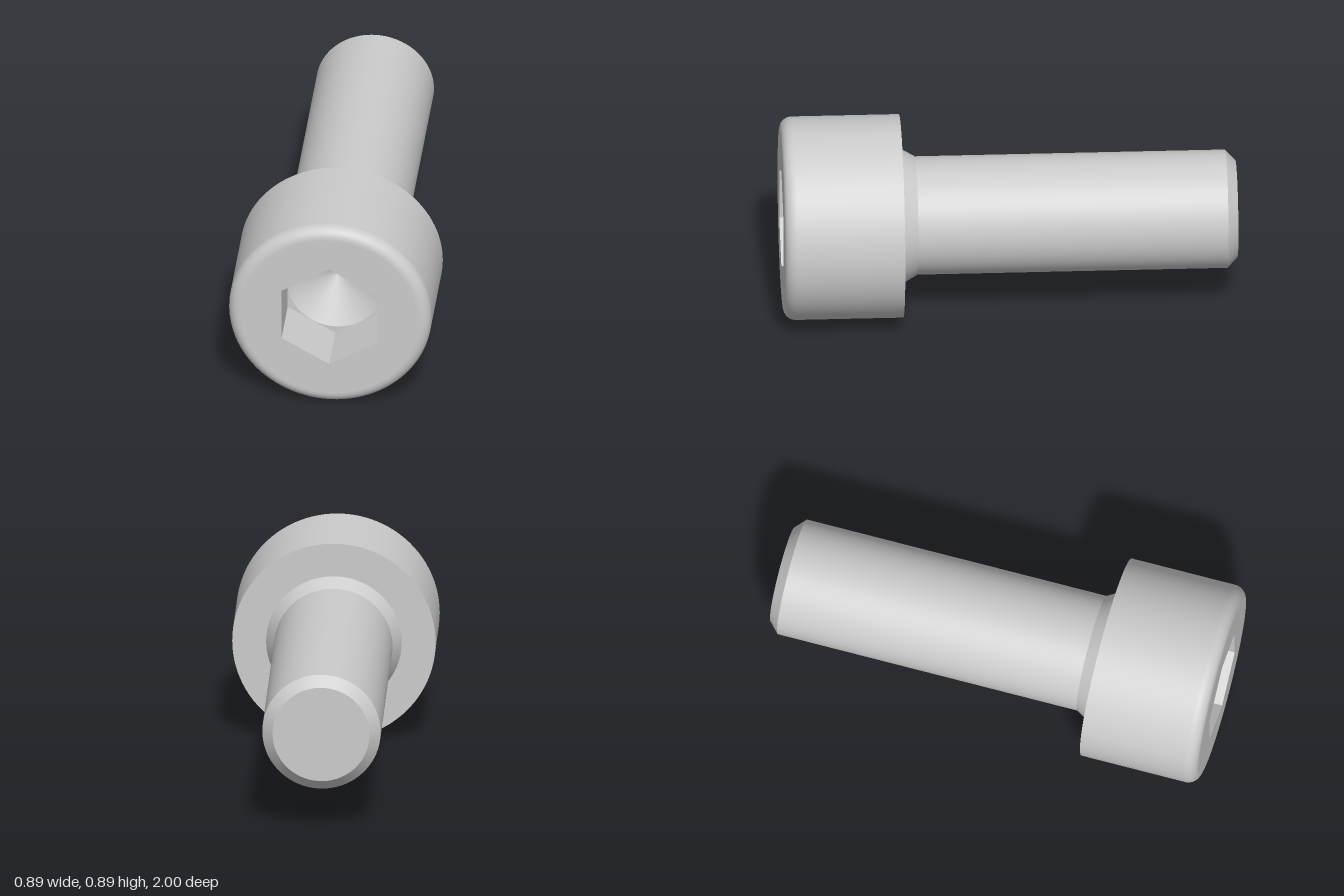
import * as THREE from 'three';

const SEG = 96;
const HEAD_R = 0.447, HEAD_BACK = 0.474, FILLET = 0.053;
const SHAFT_R = 0.26, TIP_R = 0.213, NECK_R = 0.298;
const HEX_R = 0.243, BORE_R = 0.209, FLOOR = 0.737;

export function createModel() {
  const model = new THREE.Group();
  model.name = 'socketScrew';
  const material = new THREE.MeshStandardMaterial({ color: 0xcccccc });
  const flat = new THREE.MeshStandardMaterial({ color: 0xcccccc, flatShading: true });

  const add = (name, geometry, mat = material) => {
    const mesh = new THREE.Mesh(geometry, mat);
    mesh.name = name;
    mesh.position.y = HEAD_R;
    model.add(mesh);
  };

  // Surface of revolution about z; profile given as [radius, z]
  const turned = (name, profile, segments = SEG, mat = material) => {
    const points = profile.map(([r, z]) => new THREE.Vector2(r, z));
    add(name, new THREE.LatheGeometry(points, segments).rotateX(Math.PI / 2), mat);
  };

  // Regular outline, corners at top and bottom when n = 6
  const ring = (n, r) => Array.from({ length: n }, (_, i) => {
    const a = (i / n) * Math.PI * 2;
    return new THREE.Vector2(r * Math.sin(a), r * Math.cos(a));
  });

  // Flat face towards +z with a hole
  const plate = (name, outer, inner, z) => {
    const shape = new THREE.Shape(outer);
    shape.holes.push(new THREE.Path(inner));
    add(name, new THREE.ShapeGeometry(shape).translate(0, 0, z));
  };

  // Shaft, each strip separate so its edges stay sharp
  turned('tipFace', [[0, -1], [TIP_R, -1]]);
  turned('tipChamfer', [[TIP_R, -1], [SHAFT_R, -0.955]]);
  turned('shaft', [[SHAFT_R, -0.955], [SHAFT_R, 0.408]]);
  turned('neck', [[SHAFT_R, 0.408], [NECK_R, HEAD_BACK]]);

  // Head with rounded front rim
  turned('headBearingFace', [[NECK_R, HEAD_BACK], [HEAD_R, HEAD_BACK]]);
  turned('headSide', [[HEAD_R, HEAD_BACK], [HEAD_R, 1 - FILLET]]);
  const rim = Array.from({ length: 11 }, (_, i) => {
    const a = (i / 10) * Math.PI / 2;
    return [HEAD_R - FILLET * (1 - Math.cos(a)), 1 - FILLET * (1 - Math.sin(a))];
  });
  turned('headRim', rim);
  plate('headFrontFace', ring(SEG, HEAD_R - FILLET), ring(6, HEX_R), 1);

  // Hexagonal socket with a drilled conical bottom
  turned('socketWalls', [[HEX_R, 1], [HEX_R, FLOOR]], 6, flat);
  plate('socketFloor', ring(6, HEX_R), ring(SEG, BORE_R), FLOOR);
  turned('socketCone', [[BORE_R, FLOOR], [0, FLOOR - 0.12]]);

  return model;
}
